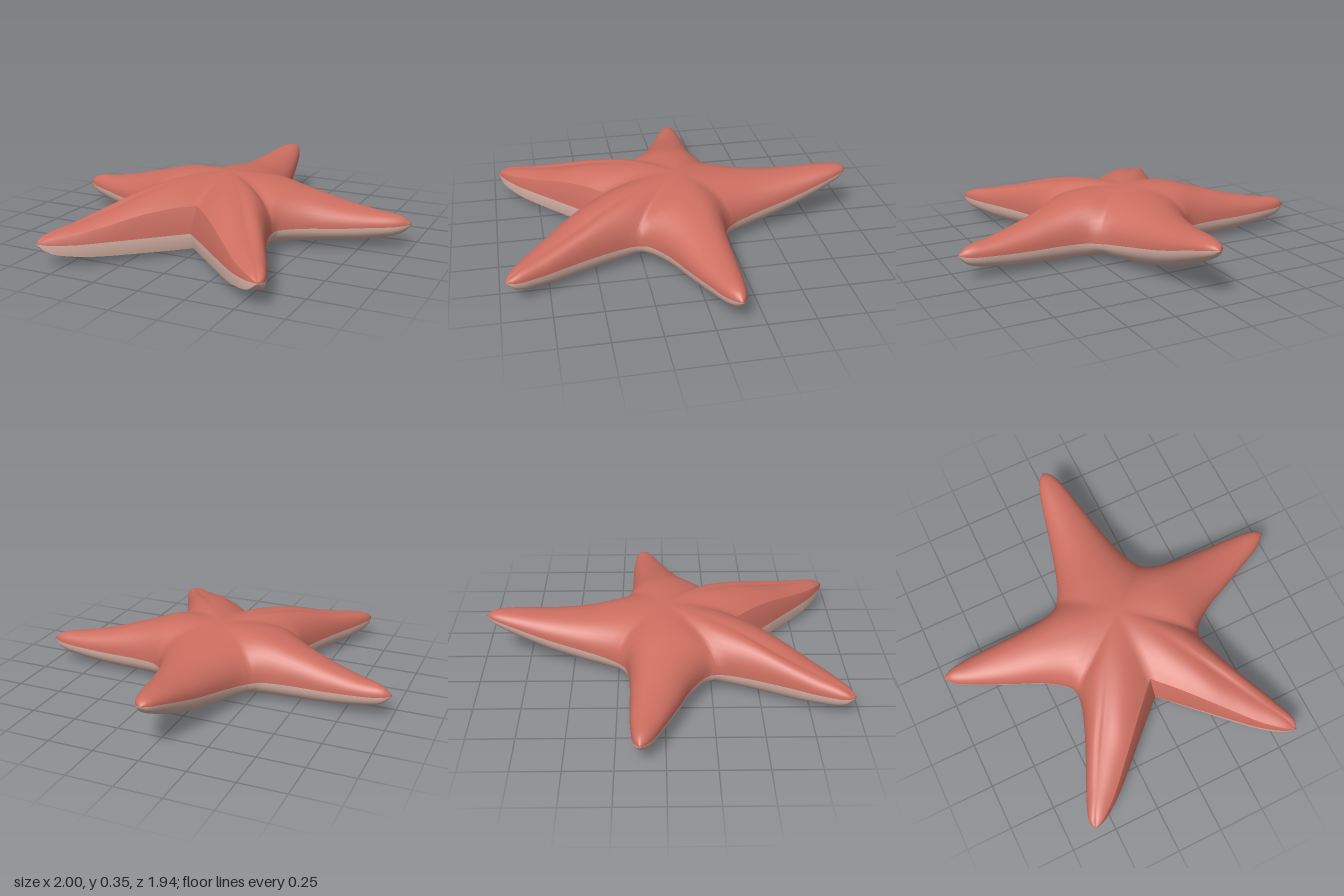
import * as THREE from 'three';
import { mergeVertices } from 'three/addons/utils/BufferGeometryUtils.js';

const ROWS = 24, COLS = 10;

// Arms: spine as [x, z, topY, bottomY]; each edge as [x, z, seamY], running from notch to tip.
const backArm = {
  spine: [[0, 0, .345, 0], [0, -.2, .325, .003], [0, -.42, .297, .025], [0, -.63, .293, .085],
    [0, -.85, .303, .18], [0, -.94, .295, .23], [0, -.975, .27, .27]],
  edges: [[[.27, -.24, .12], [.235, -.29, .125], [.185, -.42, .145], [.13, -.63, .185],
    [.075, -.85, .245], [.038, -.94, .265], [0, -.975, .27]]],
};
const sideArm = {
  spine: [[0, 0, .345, 0], [.25, -.02, .337, .003], [.45, -.05, .287, .012], [.65, -.08, .232, .027],
    [.82, -.1, .197, .05], [.95, -.12, .175, .085], [1, -.125, .137, .137]],
  edges: [
    [[.27, -.24, .12], [.32, -.205, .12], [.45, -.185, .12], [.65, -.18, .12],
      [.82, -.175, .125], [.95, -.157, .13], [1, -.125, .137]],
    [[.375, .28, .12], [.388, .23, .12], [.5, .14, .12], [.66, .065, .12],
      [.8, 0, .125], [.94, -.07, .13], [1, -.125, .137]],
  ],
};
const frontArm = {
  spine: [[0, 0, .345, 0], [.14, .2, .342, .003], [.26, .4, .305, .01], [.37, .58, .247, .018],
    [.47, .75, .202, .035], [.565, .9, .165, .07], [.6, .968, .128, .128]],
  edges: [
    [[.375, .28, .12], [.384, .34, .12], [.44, .5, .12], [.515, .67, .12],
      [.57, .79, .12], [.615, .92, .125], [.6, .968, .128]],
    [[0, .47, .12], [.1, .565, .12], [.22, .68, .12], [.33, .785, .12],
      [.43, .875, .12], [.54, .95, .125], [.6, .968, .128]],
  ],
};

const curve = (pts, f) => new THREE.CatmullRomCurve3(pts.map((p) => new THREE.Vector3(...f(p))));

// Cross-section from spine (u = 0) to seam (u = 1): [lateral fraction, height fraction]
function roundProfile(j) {
  const a = (j / COLS) * Math.PI / 2;
  return j === COLS ? [1, 0] : [Math.sin(a), Math.pow(Math.cos(a), 0.85)];
}
// Same, but ending in a sharp crease followed by a flat wall
const creased = (lateral, height) => (j) => {
  if (j === COLS) return [1, 0];
  const u = j / (COLS - 1);
  return [u * lateral, 1 - (1 - height) * Math.pow(u, 2.2)];
};

// One half of an arm, as a grid from the spine out to its edge
function addHalfArm(spinePts, edgePts, mirror, walled, body, wall) {
  const edge = curve(edgePts, (p) => [p[0], p[2], p[1]]);
  const tip = spinePts[6], notch = edgePts[0];
  const facesUp = tip[1] * notch[0] - tip[0] * notch[1] > 0;
  for (const side of ['top', 'bottom']) {
    const isTop = side === 'top';
    const spine = curve(spinePts, (p) => [p[0], isTop ? p[2] : p[3], p[1]]);
    const profile = !walled ? roundProfile : isTop ? creased(.85, .58) : creased(.93, .75);
    const grid = [];
    for (let i = 0; i <= ROWS; i++) {
      const s = spine.getPoint(i / ROWS), e = edge.getPoint(i / ROWS), row = [];
      for (let j = 0; j <= COLS; j++) {
        const [l, h] = profile(j);
        row.push([mirror * (s.x + (e.x - s.x) * l), e.y + (s.y - e.y) * h, s.z + (e.z - s.z) * l]);
      }
      grid.push(row);
    }
    const keep = facesUp === (mirror > 0) === isTop;
    for (let i = 0; i < ROWS; i++) {
      for (let j = 0; j < COLS; j++) {
        const a = grid[i][j], b = grid[i + 1][j], c = grid[i + 1][j + 1], d = grid[i][j + 1];
        const out = (walled && j === COLS - 1 ? wall : body)[side];
        out.push(...(keep ? [a, b, c, a, c, d] : [a, c, b, a, d, c]).flat());
      }
    }
  }
}

// Smooth mesh with the upper and lower skin as two material groups
function skinMesh(parts, materials, name) {
  let geo = new THREE.BufferGeometry();
  geo.setAttribute('position', new THREE.Float32BufferAttribute([...parts.top, ...parts.bottom], 3));
  geo = mergeVertices(geo, 1e-4);
  geo.clearGroups();
  geo.addGroup(0, parts.top.length / 3, 0);
  geo.addGroup(parts.top.length / 3, parts.bottom.length / 3, 1);
  geo.computeVertexNormals();
  const mesh = new THREE.Mesh(geo, materials);
  mesh.name = name;
  return mesh;
}

export function createModel() {
  const upperSkin = new THREE.MeshStandardMaterial({ color: 0xcc6e60 });
  upperSkin.name = 'coral red';
  const lowerSkin = new THREE.MeshStandardMaterial({ color: 0xd4b0a4 });
  lowerSkin.name = 'pale pink';
  const materials = [upperSkin, lowerSkin];

  const group = new THREE.Group();
  group.name = 'starfish';
  const body = { top: [], bottom: [] };
  for (const mirror of [1, -1]) {
    const wall = { top: [], bottom: [] };
    for (const arm of [backArm, sideArm, frontArm]) {
      arm.edges.forEach((edge, k) =>
        addHalfArm(arm.spine, edge, mirror, arm === frontArm && k === 1, body, wall));
    }
    // flat inner side of the front arm
    group.add(skinMesh(wall, materials, mirror > 0 ? 'leftFrontNotchWall' : 'rightFrontNotchWall'));
  }
  group.add(skinMesh(body, materials, 'body'));
  return group;
}
